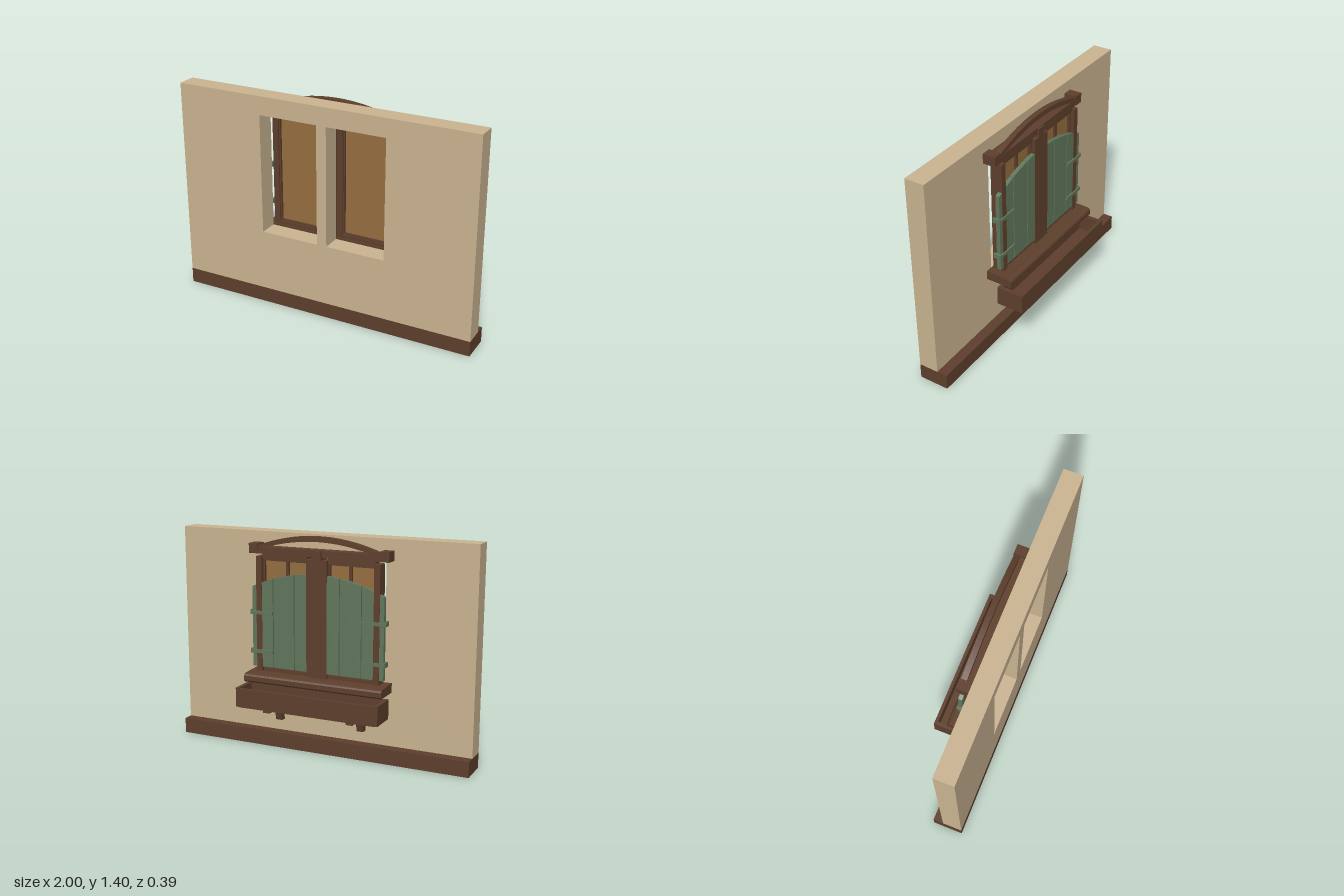
import * as THREE from 'three';

const mat = (name, color) => {
  const m = new THREE.MeshStandardMaterial({ color });
  m.name = name;
  return m;
};

export function createModel() {
  const group = new THREE.Group();
  const plaster = mat('plaster', 0xcbb592);
  const wood = mat('dark wood', 0x5e3f2c);
  const green = mat('shutter green', 0x62775c);
  const glass = mat('amber glass', 0x956e40);

  const add = (name, geometry, material) => {
    const mesh = new THREE.Mesh(geometry, material);
    mesh.name = name;
    group.add(mesh);
    return mesh;
  };
  // Box given by its limits on each axis
  const box = (name, material, x0, x1, y0, y1, z0, z1) => {
    const g = new THREE.BoxGeometry(Math.abs(x1 - x0), y1 - y0, z1 - z0);
    g.translate((x0 + x1) / 2, (y0 + y1) / 2, (z0 + z1) / 2);
    return add(name, g, material);
  };
  const poly = (pts) => new THREE.Shape(pts.map(([x, y]) => new THREE.Vector2(x, y)));
  // Extrusion along z between two limits
  const slab = (name, material, shape, z0, z1, curveSegments = 24) => {
    const g = new THREE.ExtrudeGeometry(shape, { depth: z1 - z0, bevelEnabled: false, curveSegments });
    g.translate(0, 0, z0);
    return add(name, g, material);
  };
  // Side profile of [z, y] points, extruded along x
  const sideProfile = (name, material, pts, x0, x1) => {
    const g = new THREE.ExtrudeGeometry(poly(pts.map(([z, y]) => [-z, y])), { depth: x1 - x0, bevelEnabled: false });
    g.rotateY(Math.PI / 2);
    g.translate(x0, 0, 0);
    return add(name, g, material);
  };

  // Wall with two window openings, and its plinth
  const wall = poly([[-1, 0.1], [1, 0.1], [1, 1.4], [-1, 1.4]]);
  for (const s of [-1, 1]) {
    wall.holes.push(poly([[s * 0.033, 0.5], [s * 0.424, 0.5], [s * 0.424, 1.28], [s * 0.033, 1.28]]));
  }
  slab('wall', plaster, wall, 0.07, 0.197);
  box('plinth', wood, -1, 1, 0, 0.1, 0.003, 0.197);

  // Lintel with end blocks and the open arch above it
  box('lintel', wood, -0.43, 0.43, 1.268, 1.31, -0.012, 0.068);
  const arch = new THREE.Shape();
  arch.moveTo(-0.44, 1.31);
  arch.quadraticCurveTo(0, 1.48, 0.44, 1.31);
  arch.lineTo(0.40, 1.295);
  arch.quadraticCurveTo(0, 1.43, -0.40, 1.295);
  slab('arch', wood, arch, -0.01, 0.025);

  // Centre post
  box('centrePost', wood, -0.07, 0.07, 0.5, 1.252, -0.022, 0.055);
  box('centrePostCap', wood, -0.03, 0.03, 0.5, 1.308, -0.024, 0.066);

  // Sill with a chamfered nose
  sideProfile('sill', wood, [[0.068, 0.45], [0.068, 0.51], [-0.085, 0.505], [-0.1, 0.5],
    [-0.107, 0.49], [-0.107, 0.46], [-0.1, 0.45]], -0.472, 0.472);

  const archTop = (x) => 1.16 - 0.5 * x * x;
  for (const s of [-1, 1]) {
    box('lintelEndBlock', wood, s * 0.41, s * 0.474, 1.268, 1.33, -0.015, 0.068);

    // Window frame, sash, pane and glazing bars
    box('outerStile', wood, s * 0.382, s * 0.421, 0.51, 1.252, -0.022, 0.055);
    box('topRail', wood, s * 0.07, s * 0.384, 1.236, 1.27, -0.005, 0.055);
    box('bottomRail', wood, s * 0.07, s * 0.384, 0.505, 0.53, -0.005, 0.055);
    box('sashStile', wood, s * 0.372, s * 0.384, 0.52, 1.24, 0.005, 0.045);
    box('sashStile', wood, s * 0.068, s * 0.08, 0.52, 1.24, 0.005, 0.045);
    box('sashRail', wood, s * 0.07, s * 0.384, 1.224, 1.24, 0.005, 0.045);
    box('sashRail', wood, s * 0.07, s * 0.384, 0.525, 0.54, 0.005, 0.045);
    box('pane', glass, s * 0.075, s * 0.38, 0.53, 1.235, 0.024, 0.03);
    box('glazingBar', wood, s * 0.205, s * 0.225, 0.53, 1.235, 0.009, 0.024);

    // Shutter planks under a common arch, with a recessed backing
    const plank = (name, a, b, z0, z1, drop) => {
      const pts = [[s * a, 0.54], [s * b, 0.54]];
      for (let i = 0; i <= 6; i++) {
        const x = b + (a - b) * i / 6;
        pts.push([s * x, archTop(x) - drop]);
      }
      slab(name, green, poly(pts), z0, z1);
    };
    for (const [a, b] of [[0.02, 0.152], [0.158, 0.299], [0.305, 0.45]]) {
      plank('shutterPlank', a, b, -0.02, 0.006, 0);
    }
    plank('shutterBacking', 0.02, 0.445, -0.008, 0.003, 0.004);

    // Strap hinges wrapping the outer edge
    for (const y of [0.64, 0.893]) {
      box('hingeStrap', green, s * 0.305, s * 0.462, y - 0.011, y + 0.011, -0.03, -0.018);
      box('hingeEnd', green, s * 0.449, s * 0.464, y - 0.015, y + 0.015, -0.027, 0.022);
    }

    // Flower box ends and brackets
    box('flowerBoxEnd', wood, s * 0.46, s * 0.485, 0.305, 0.43, -0.193, -0.015);
    sideProfile('bracket', wood, [[0.05, 0.302], [-0.16, 0.302], [-0.16, 0.278], [-0.008, 0.278],
      [0.015, 0.185], [0.05, 0.185]], s * 0.285 - 0.022, s * 0.285 + 0.022);
  }

  // Flower box sides and floor
  box('flowerBoxOuterSide', wood, -0.462, 0.462, 0.305, 0.427, -0.193, -0.172);
  box('flowerBoxWallSide', wood, -0.462, 0.462, 0.305, 0.427, -0.036, -0.015);
  box('flowerBoxFloor', wood, -0.462, 0.462, 0.302, 0.325, -0.19, -0.018);

  return group;
}
